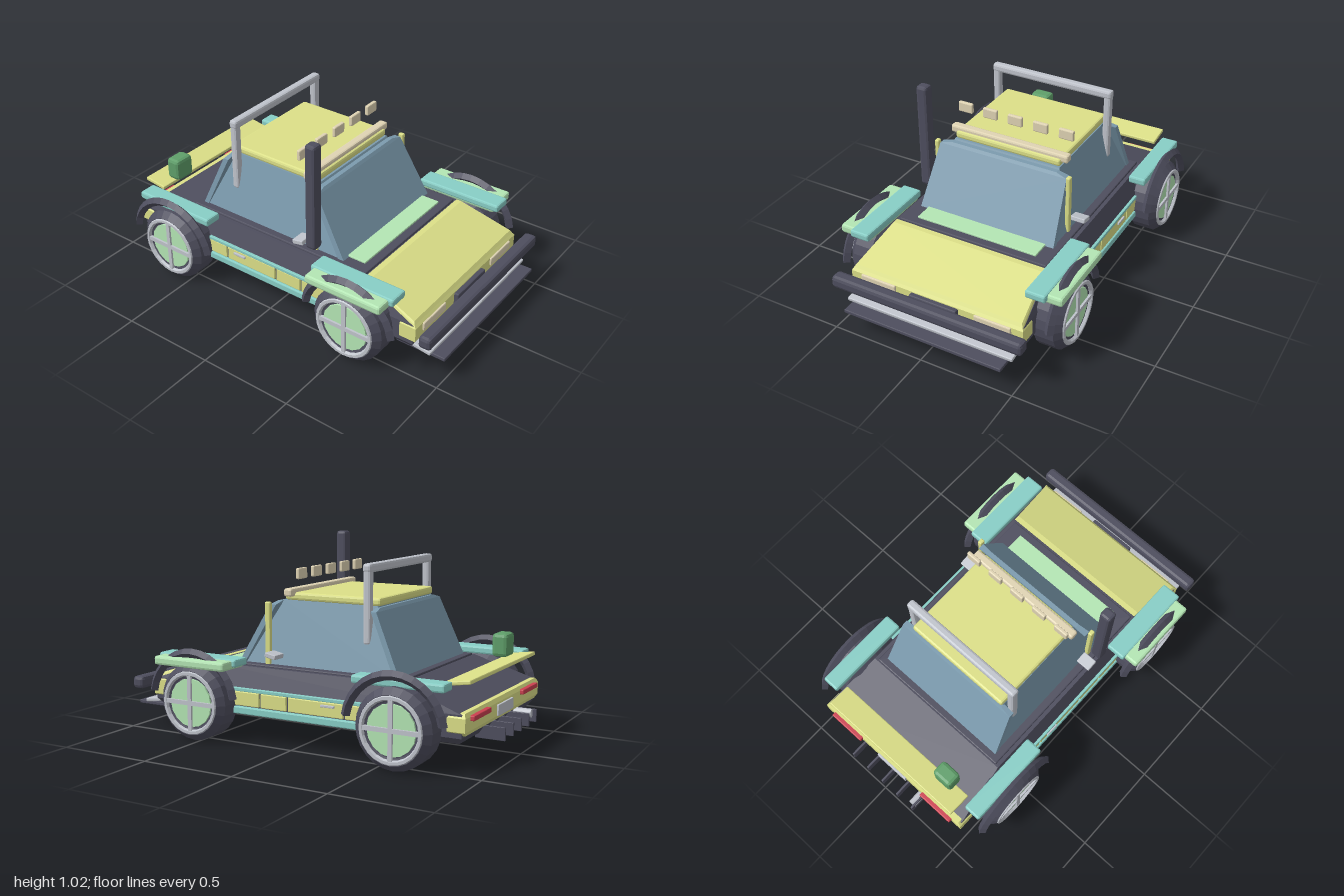
import * as THREE from 'three';
import { RoundedBoxGeometry } from 'three/addons/geometries/RoundedBoxGeometry.js';
import { ConvexGeometry } from 'three/addons/geometries/ConvexGeometry.js';

const paint = (color) => new THREE.MeshStandardMaterial({ color, flatShading: true });
const yellow = paint(0xdce088), dark = paint(0x4e4e5e), teal = paint(0x88cec6);
const mint = paint(0xb4e6b4), glass = paint(0x7c9bae), beige = paint(0xe0d4b4);
const grey = paint(0xc0c4cc), red = paint(0xcc4050), canGreen = paint(0x5f9f6a);

export function createModel() {
  const model = new THREE.Group();

  const add = (name, geometry, material, parent = model) => {
    const mesh = new THREE.Mesh(geometry, material);
    mesh.name = name;
    parent.add(mesh);
    return mesh;
  };

  // Chamfered box given by its extents on each axis
  const block = (name, material, [x0, x1], [y0, y1], [z0, z1], bevel = 0.006) => {
    const w = x1 - x0, h = y1 - y0, d = z1 - z0;
    const r = Math.min(bevel, w * 0.3, h * 0.3, d * 0.3);
    const mesh = add(name, new RoundedBoxGeometry(w, h, d, 1, r), material);
    mesh.position.set((x0 + x1) / 2, (y0 + y1) / 2, (z0 + z1) / 2);
    return mesh;
  };

  // The same box on both sides
  const pair = (name, material, [x0, x1], y, z, bevel) => {
    block(name + 'Left', material, [x0, x1], y, z, bevel);
    block(name + 'Right', material, [-x1, -x0], y, z, bevel);
  };

  // Solid between rectangles, each given as [y, halfWidth, zBack, zFront]
  const hull = (name, material, ...levels) => {
    const points = [];
    for (const [y, w, z0, z1] of levels)
      for (const x of [-w, w]) for (const z of [z0, z1]) points.push(new THREE.Vector3(x, y, z));
    return add(name, new ConvexGeometry(points), material);
  };

  // Body shell
  hull('lowerBody', dark, [0.14, 0.455, -0.87, 0.82], [0.17, 0.478, -0.89, 0.845], [0.28, 0.478, -0.89, 0.845]);
  hull('upperBody', dark, [0.28, 0.478, -0.89, 0.845], [0.385, 0.44, -0.57, 0.53]);
  block('cabinBase', dark, [-0.42, 0.42], [0.37, 0.396], [-0.565, 0.52]);
  hull('hood', yellow, [0.285, 0.475, 0.8, 0.85], [0.3, 0.465, 0.78, 0.84], [0.392, 0.43, 0.53, 0.56]);
  hull('nosePanel', yellow, [0.17, 0.46, 0.8, 0.845], [0.195, 0.482, 0.77, 0.86], [0.27, 0.482, 0.77, 0.86], [0.29, 0.47, 0.78, 0.845]);
  hull('tailPanel', yellow, [0.18, 0.46, -0.9, -0.84], [0.2, 0.485, -0.91, -0.82], [0.265, 0.485, -0.91, -0.82], [0.285, 0.465, -0.9, -0.84]);
  block('cowlPanel', mint, [-0.34, 0.34], [0.385, 0.405], [0.37, 0.475], 0.003);

  // Side panels, rails and door handles
  for (const [z0, z1] of [[0.195, 0.35], [0.035, 0.185], [-0.285, 0.025], [-0.41, -0.295]])
    pair('doorPanel', yellow, [0.46, 0.488], [0.19, 0.262], [z0, z1], 0.004);
  pair('upperRail', teal, [0.46, 0.492], [0.264, 0.282], [-0.41, 0.36], 0.003);
  pair('rocker', teal, [0.45, 0.495], [0.148, 0.186], [-0.42, 0.36]);
  pair('doorHandle', grey, [0.48, 0.498], [0.238, 0.25], [-0.24, -0.165], 0.002);

  // Cabin
  hull('cabinGlass', glass, [0.392, 0.38, -0.5, 0.34], [0.715, 0.3, -0.37, 0.16]);
  const pane = (name, zBase, zTop, thick) => hull(name, glass,
    [0.392, 0.385, Math.min(zBase, zBase - thick), Math.max(zBase, zBase - thick)],
    [0.695, 0.362, Math.min(zTop, zTop - thick), Math.max(zTop, zTop - thick)],
    [0.71, 0.3, Math.min(zTop - thick * 0.3, zTop - thick), Math.max(zTop - thick * 0.3, zTop - thick)]);
  pane('windshield', 0.38, 0.205, 0.035);
  pane('rearWindow', -0.53, -0.395, -0.03);
  block('roof', yellow, [-0.3, 0.3], [0.715, 0.755], [-0.385, 0.155], 0.012);
  pair('doorPost', yellow, [0.364, 0.388], [0.39, 0.71], [0.19, 0.22]);

  // Side mirrors
  for (const s of [-1, 1]) {
    const m = block('sideMirror', grey, [s * 0.415 - 0.04, s * 0.415 + 0.04], [0.438, 0.462], [0.117, 0.18], 0.004);
    m.rotation.x = -0.2;
  }

  // Roof lights
  block('lightBar', beige, [-0.335, 0.335], [0.735, 0.776], [0.095, 0.142], 0.01);
  for (let i = -2; i <= 2; i++)
    block('roofLight', beige, [i * 0.144 - 0.041, i * 0.144 + 0.041], [0.825, 0.88], [0.053, 0.074]);

  // Roll bar
  block('rollBarTop', grey, [-0.35, 0.35], [0.878, 0.922], [-0.357, -0.312], 0.012);
  pair('rollBarPost', grey, [0.307, 0.348], [0.53, 0.9], [-0.355, -0.314], 0.012);

  // Snorkel, fuel can and rear wing
  block('snorkel', dark, [-0.46, -0.398], [0.445, 1.02], [0.2, 0.26], 0.014);
  block('fuelCan', canGreen, [-0.35, -0.235], [0.42, 0.54], [-0.827, -0.743], 0.018);
  const wing = block('rearWing', yellow, [-0.43, 0.43], [0.403, 0.423], [-0.91, -0.78], 0.005);
  wing.rotation.x = 0.14;

  // Fenders
  pair('frontFender', mint, [0.44, 0.62], [0.38, 0.426], [0.315, 0.745], 0.012);
  pair('frontFenderCap', teal, [0.437, 0.545], [0.392, 0.432], [0.295, 0.77], 0.01);
  pair('rearFender', teal, [0.455, 0.55], [0.385, 0.426], [-0.835, -0.36], 0.01);

  // Front end
  block('frontBumper', dark, [-0.53, 0.53], [0.218, 0.284], [0.9, 0.968], 0.018);
  block('winch', dark, [-0.132, 0.132], [0.186, 0.265], [0.85, 0.885]);
  pair('headlight', beige, [0.22, 0.42], [0.225, 0.27], [0.845, 0.87]);
  const lip = block('skidLip', grey, [-0.465, 0.465], [0.142, 0.162], [0.835, 0.935], 0.005);
  lip.rotation.x = 0.14;
  block('splitter', dark, [-0.44, 0.44], [0.117, 0.136], [0.73, 1], 0.004);
  block('skidPlate', grey, [-0.38, 0.38], [0.112, 0.126], [0.72, 0.9], 0.003);

  // Rear end
  pair('tailLight', red, [0.215, 0.425], [0.245, 0.27], [-0.93, -0.9], 0.005);
  block('rearPlate', grey, [-0.1, 0.1], [0.2, 0.255], [-0.92, -0.9], 0.003);
  for (let i = -2; i <= 2; i++)
    block('diffuserFin', dark, [i * 0.107 - 0.006, i * 0.107 + 0.006], [0.115, 0.18], [-1, -0.85], 0.002);
  const exhaust = add('exhaust', new THREE.CylinderGeometry(0.022, 0.022, 0.14, 10), grey);
  exhaust.rotation.x = Math.PI / 2;
  exhaust.position.set(-0.2, 0.16, -0.91);

  // Wheels, with an arch ring over each
  const tyreProfile = [[0.13, -0.07], [0.165, -0.083], [0.197, -0.05], [0.197, 0.05],
    [0.165, 0.083], [0.13, 0.07]].map(([r, y]) => new THREE.Vector2(r, y));
  for (const s of [-1, 1]) for (const z of [0.536, -0.595]) {
    const wheel = new THREE.Group();
    wheel.name = 'wheel';
    wheel.position.set(s * 0.52, 0.199, z);
    wheel.rotation.z = -s * Math.PI / 2; // local +y points outwards
    model.add(wheel);
    add('tyre', new THREE.LatheGeometry(tyreProfile, 24), dark, wheel);
    add('hub', new THREE.CylinderGeometry(0.145, 0.145, 0.13, 20), dark, wheel);
    const disc = add('hubDisc', new THREE.CylinderGeometry(0.125, 0.125, 0.02, 16), mint, wheel);
    disc.position.y = 0.066;
    const rim = add('rim', new THREE.TorusGeometry(0.152, 0.014, 6, 24), grey, wheel);
    rim.rotation.x = Math.PI / 2;
    rim.position.y = 0.077;
    for (const turn of [0, Math.PI / 2]) {
      const spoke = add('spoke', new THREE.BoxGeometry(0.3, 0.016, 0.022), grey, wheel);
      spoke.rotation.y = turn;
      spoke.position.y = 0.079;
    }
    const arch = add('wheelArch', new THREE.TorusGeometry(0.25, 0.024, 4, 14, Math.PI * 0.9), dark);
    arch.rotation.set(0, Math.PI / 2, Math.PI * 0.05);
    arch.position.set(s * 0.575, 0.2, z);
  }
  return model;
}
